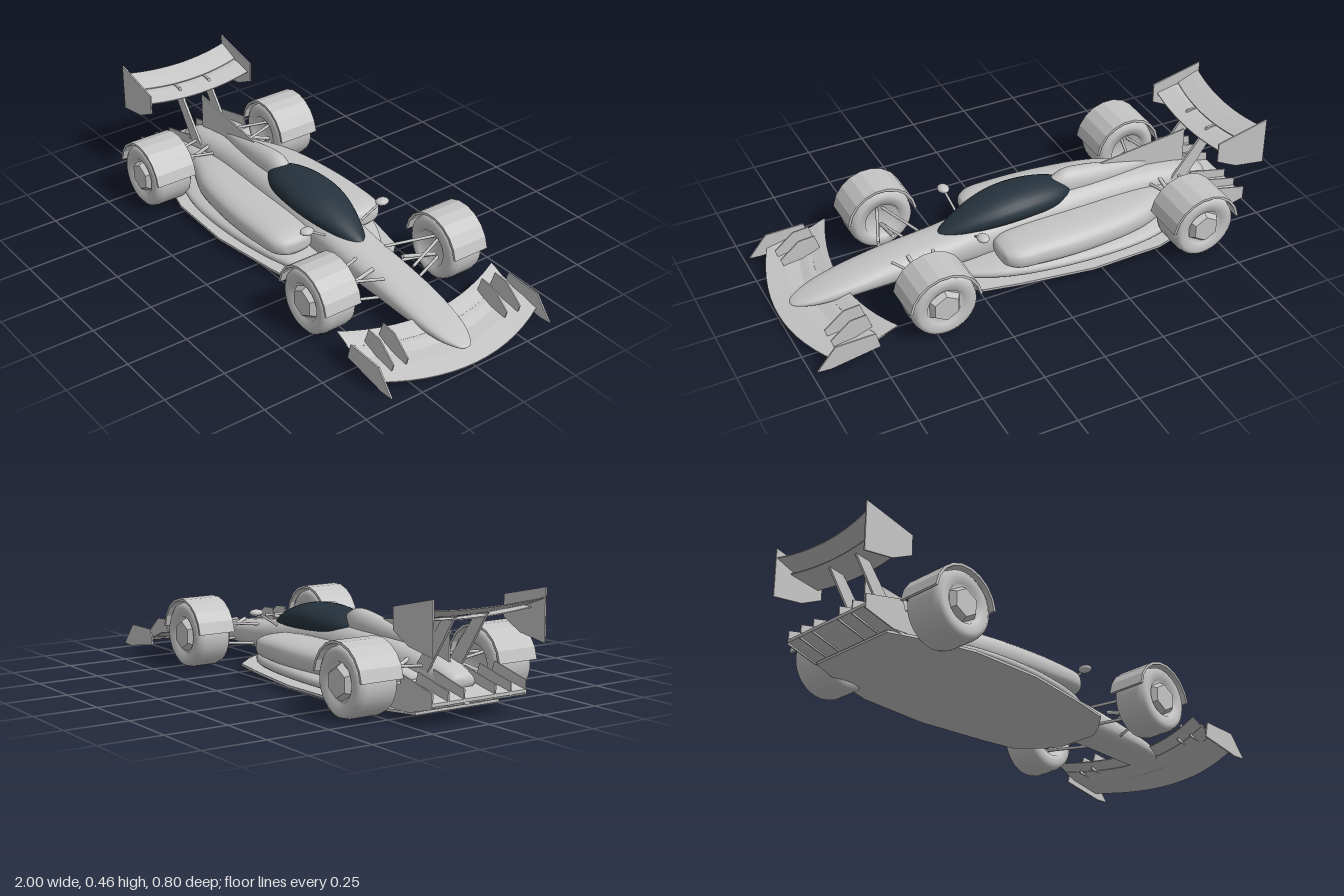
import * as THREE from 'three';

const paint = new THREE.MeshStandardMaterial({ color: 0xc4c4c4 });
paint.name = 'silver grey';
const glass = new THREE.MeshStandardMaterial({ color: 0x26333d });
glass.name = 'dark navy';
const V = (x, y, z) => new THREE.Vector3(x, y, z);

function part(parent, name, geometry, material = paint) {
  const mesh = new THREE.Mesh(geometry, material);
  mesh.name = name;
  parent.add(mesh);
  return mesh;
}

// Closed skin over equal-length rings of points, with end caps, always facing outwards
function skin(rings, flat = false) {
  const n = rings[0].length, pts = rings.flat(), index = [];
  for (let i = 0; i + 1 < rings.length; i++) {
    for (let j = 0; j < n; j++) {
      const a = i * n + j, b = i * n + (j + 1) % n;
      index.push(a, b, a + n, b, b + n, a + n);
    }
  }
  const last = (rings.length - 1) * n;
  for (let j = 1; j + 1 < n; j++) index.push(0, j + 1, j, last, last + j, last + j + 1);
  let volume = 0;
  for (let i = 0; i < index.length; i += 3) {
    volume += pts[index[i]].dot(V(0, 0, 0).crossVectors(pts[index[i + 1]], pts[index[i + 2]]));
  }
  if (volume < 0) index.reverse();
  let g = new THREE.BufferGeometry().setFromPoints(pts);
  g.setIndex(index);
  if (flat) g = g.toNonIndexed();
  g.computeVertexNormals();
  return g;
}

// Smooth body along x; each section is [x, centreZ, halfWidth, bottom, top]
function loft(sections, power = 0.8, steps = 32, sides = 28) {
  const mid = new THREE.CatmullRomCurve3(sections.map(s => V(s[0], (s[3] + s[4]) / 2, s[1])), false, 'centripetal');
  const size = new THREE.CatmullRomCurve3(sections.map(s => V(s[0], (s[4] - s[3]) / 2, s[2])), false, 'centripetal');
  const bend = v => Math.sign(v) * Math.abs(v) ** power;
  const rings = [];
  for (let i = 0; i <= steps; i++) {
    const c = mid.getPoint(i / steps), r = size.getPoint(i / steps), ring = [];
    for (let j = 0; j < sides; j++) {
      const a = j / sides * Math.PI * 2;
      ring.push(V(c.x, c.y + Math.max(r.y, 0.001) * bend(Math.sin(a)), c.z + Math.max(r.z, 0.001) * bend(Math.cos(a))));
    }
    rings.push(ring);
  }
  return skin(rings);
}

// Arched, swept wing blade: profile points are [x, y] at the tip
function blade(profile, half, sweep, drop) {
  const rings = [];
  for (let i = 0; i <= 14; i++) {
    const t = i / 7 - 1, k = 1 - t * t;
    rings.push(profile.map(([x, y]) => V(x + sweep * k, y - drop * k, t * half)));
  }
  return skin(rings, true);
}
const foil = (x0, y0, x1, y1, t) => [[x0, y0], [x0 + (x1 - x0) * 0.6, y0 + (y1 - y0) * 0.5 + t], [x1, y1], [x1, y1 - 0.004], [x0 + (x1 - x0) * 0.6, y0 + (y1 - y0) * 0.5 - t * 0.3], [x0, y0 - 0.004]];

// Upright plate in the xy plane, centred on z
function plate(points, z, thick = 0.006) {
  const shape = new THREE.Shape(points.map(p => new THREE.Vector2(...p)));
  return new THREE.ExtrudeGeometry(shape, { depth: thick, bevelEnabled: false }).translate(0, 0, z - thick / 2);
}

function rod(parent, name, a, b, r = 0.006) {
  const m = part(parent, name, new THREE.CylinderGeometry(r, r, a.distanceTo(b), 8));
  m.position.copy(a).lerp(b, 0.5);
  m.quaternion.setFromUnitVectors(V(0, 1, 0), b.clone().sub(a).normalize());
}

function wheel(x, side, inner, outer) {
  const g = new THREE.Group();
  g.name = 'wheel';
  const h = (outer - inner) / 2;
  // Rounded tyre with sloping sidewalls
  const profile = [[0, -h + 0.03], [0.07, -h + 0.03], [0.075, -h], [0.11, -h], [0.127, -h + 0.012], [0.133, -h + 0.035],
    [0.133, h - 0.035], [0.127, h - 0.012], [0.11, h], [0.075, h - 0.008], [0.07, h - 0.02], [0, h - 0.02]];
  part(g, 'tyre', new THREE.LatheGeometry(profile.map(p => new THREE.Vector2(...p)), 32).rotateX(Math.PI / 2 * side));
  // Six-sided hub
  const hub = new THREE.CylinderGeometry(0.055, 0.075, 0.03, 6).toNonIndexed();
  hub.computeVertexNormals();
  part(g, 'hub', hub.rotateX(Math.PI / 2 * side).translate(0, 0, side * (h - 0.012)));
  // Faceted cover over the top half
  const arc = (r, a) => [r * Math.cos(a), r * Math.sin(a)];
  const out = [], inn = [];
  for (let i = 0; i <= 9; i++) {
    const a = Math.PI * (0.04 + 0.92 * i / 9);
    out.push(arc(0.149, a));
    inn.unshift(arc(0.139, a));
  }
  part(g, 'wheelCover', plate([...out, ...inn], 0, h * 2 + 0.004));
  g.position.set(x, 0.134, side * (inner + outer) / 2);
  return g;
}

export function createModel() {
  const car = new THREE.Group();
  car.name = 'raceCar';

  // Central body, airbox and cockpit canopy
  part(car, 'body', loft([[-0.86, 0, 0.05, 0.1, 0.15], [-0.78, 0, 0.075, 0.06, 0.185], [-0.5, 0, 0.09, 0.04, 0.225],
    [-0.2, 0, 0.105, 0.04, 0.24], [0.1, 0, 0.105, 0.04, 0.215], [0.33, 0, 0.098, 0.045, 0.18], [0.55, 0, 0.093, 0.05, 0.155],
    [0.75, 0, 0.083, 0.048, 0.118], [0.88, 0, 0.058, 0.046, 0.085], [0.945, 0, 0.02, 0.05, 0.062], [0.95, 0, 0.002, 0.054, 0.056]]));
  part(car, 'airbox', loft([[-0.6, 0, 0.005, 0.2, 0.235], [-0.45, 0, 0.032, 0.18, 0.272], [-0.3, 0, 0.047, 0.18, 0.3],
    [-0.22, 0, 0.045, 0.18, 0.303], [-0.16, 0, 0.03, 0.2, 0.275]], 1));
  part(car, 'canopy', loft([[-0.25, 0, 0.004, 0.22, 0.23], [-0.235, 0, 0.04, 0.2, 0.255], [-0.16, 0, 0.085, 0.17, 0.283],
    [-0.03, 0, 0.106, 0.165, 0.296], [0.1, 0, 0.101, 0.16, 0.283], [0.22, 0, 0.07, 0.155, 0.243],
    [0.31, 0, 0.032, 0.15, 0.196], [0.335, 0, 0.008, 0.16, 0.176]], 1), glass);
  part(car, 'engineFin', plate([[-0.78, 0.335], [-0.3, 0.275], [-0.3, 0.2], [-0.78, 0.16]], 0));

  // Flat floor with pointed front
  const edge = [[0.37, 0.09], [0.33, 0.15], [0.25, 0.235], [0.1, 0.265], [-0.2, 0.308], [-0.5, 0.3], [-0.68, 0.25], [-0.83, 0.19]];
  const floorShape = new THREE.Shape([...edge, ...edge.map(([x, z]) => [x, -z]).reverse()].map(p => new THREE.Vector2(...p)));
  part(car, 'floor', new THREE.ExtrudeGeometry(floorShape, { depth: 0.01, bevelEnabled: false }).rotateX(-Math.PI / 2).translate(0, 0.025, 0));

  // Rear diffuser
  part(car, 'diffuser', skin([-0.21, 0.21].map(z => [V(-0.74, 0.13, z), V(-0.95, 0.09, z), V(-0.95, 0.078, z), V(-0.78, 0.028, z), V(-0.7, 0.03, z)]), true));

  // Front wing: main blade and two flaps
  part(car, 'frontWing', blade(foil(0.91, 0.048, 0.77, 0.072, 0.006), 0.375, 0.09, 0.028));
  part(car, 'lowerFlap', blade(foil(0.785, 0.068, 0.715, 0.092, 0.005), 0.372, 0.08, 0.028));
  part(car, 'upperFlap', blade(foil(0.725, 0.09, 0.66, 0.116, 0.004), 0.37, 0.08, 0.028));

  // Rear wing: main blade and flap
  part(car, 'rearWing', blade(foil(-0.8, 0.364, -0.93, 0.382, 0.008), 0.25, 0.015, 0.018));
  part(car, 'rearFlap', blade(foil(-0.9, 0.388, -0.995, 0.424, 0.005), 0.25, 0.025, 0.016));

  for (const s of [1, -1]) {
    const half = new THREE.Group();
    half.name = s > 0 ? 'leftSide' : 'rightSide';
    car.add(half);

    // Sidepod and its lower skirt
    part(half, 'sidepod', loft([[-0.76, s * 0.09, 0.02, 0.08, 0.13], [-0.6, s * 0.1, 0.07, 0.06, 0.16], [-0.45, s * 0.125, 0.105, 0.055, 0.175],
      [-0.2, s * 0.145, 0.12, 0.06, 0.182], [0, s * 0.16, 0.108, 0.072, 0.182], [0.1, s * 0.165, 0.095, 0.082, 0.175],
      [0.14, s * 0.165, 0.065, 0.095, 0.16], [0.15, s * 0.165, 0.03, 0.11, 0.145]], 0.75));
    part(half, 'skirt', loft([[-0.7, s * 0.09, 0.1, 0.03, 0.07], [-0.45, s * 0.12, 0.15, 0.03, 0.09], [-0.1, s * 0.12, 0.155, 0.03, 0.1],
      [0.15, s * 0.1, 0.12, 0.03, 0.09], [0.32, s * 0.06, 0.06, 0.03, 0.06]], 0.8));

    half.add(wheel(-0.65, s, 0.22, 0.396), wheel(0.468, s, 0.226, 0.382));

    // Suspension arms
    for (const [x, spread, h] of [[0.468, 0.085, 0.16], [-0.65, 0.07, 0.17]]) {
      for (const d of [-1, 1]) {
        rod(half, 'upperArm', V(x + d * spread, h, s * 0.07), V(x + d * 0.01, 0.175, s * 0.26));
        rod(half, 'lowerArm', V(x + d * spread, 0.08, s * 0.07), V(x + d * 0.01, 0.09, s * 0.26));
      }
      rod(half, 'pushRod', V(x + 0.02, h + 0.01, s * 0.07), V(x, 0.1, s * 0.25), 0.008);
    }

    // Mirror on its stalk
    const mirror = part(half, 'mirror', new THREE.SphereGeometry(1, 16, 10));
    mirror.scale.set(0.024, 0.014, 0.029);
    mirror.position.set(0.222, 0.24, s * 0.182);
    rod(half, 'mirrorStalk', V(0.21, 0.182, s * 0.09), V(0.222, 0.236, s * 0.17), 0.005);

    // Front wing end plate and fences
    part(half, 'frontEndPlate', plate([[0.735, 0.05], [0.75, 0.115], [0.91, 0.112], [0.985, 0.022], [0.93, 0.018]], s * 0.375));
    for (const z of [0.235, 0.3]) {
      part(half, 'wingFence', plate([[0.73, 0.07], [0.755, 0.15], [0.82, 0.145], [0.9, 0.08], [0.89, 0.05]], s * z, 0.005));
    }

    // Rear wing end plate, strut and diffuser fences
    part(half, 'rearEndPlate', plate([[-1, 0.46], [-0.78, 0.408], [-0.78, 0.325], [-0.87, 0.28], [-1, 0.26]], s * 0.25));
    part(half, 'rearStrut', plate([[-0.9, 0.372], [-0.84, 0.368], [-0.68, 0.16], [-0.75, 0.15]], s * 0.073, 0.01));
    for (const z of [0.07, 0.14, 0.21]) {
      part(half, 'diffuserFence', plate([[-0.95, 0.125], [-0.78, 0.165], [-0.74, 0.04], [-0.82, 0.035], [-0.95, 0.07]], s * z, 0.005));
    }
  }
  return car;
}
